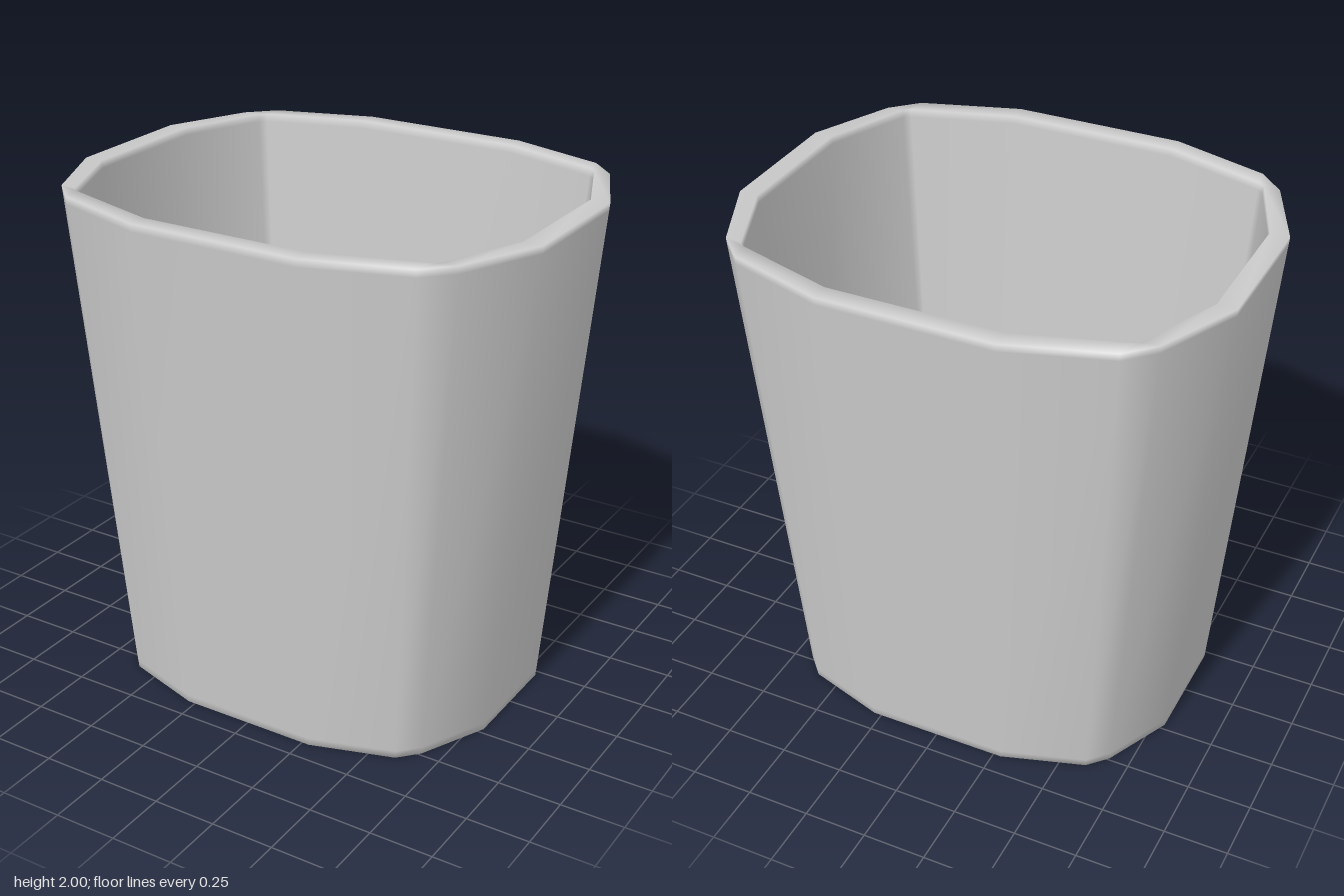
import * as THREE from 'three';

// One quarter of each outline as [x, z], mirrored into a closed 16-sided ring
const outerBase = [[0.795, 0.225], [0.67, 0.49], [0.6, 0.565], [0.28, 0.665]];
const outerTop = [[0.965, 0.27], [0.82, 0.59], [0.72, 0.69], [0.335, 0.81]];
const innerTop = [[0.89, 0.27], [0.755, 0.595], [0.73, 0.615], [0.335, 0.735]];
const innerBase = [[0.73, 0.225], [0.625, 0.49], [0.61, 0.51], [0.28, 0.605]];

const mix = (a, b, t) => a.map(([x, z], i) => [x + (b[i][0] - x) * t, z + (b[i][1] - z) * t]);
const scaled = (q, s) => q.map(([x, z]) => [x * s, z * s]);

function ring(quarter, y) {
  const back = [...quarter].reverse();
  return [
    ...quarter,
    ...back.map(([x, z]) => [-x, z]),
    ...quarter.map(([x, z]) => [-x, -z]),
    ...back.map(([x, z]) => [x, -z]),
  ].map(([x, z]) => [x, y, z]);
}

// Skin a list of rings in order; smooth normals come from shared vertices
function loft(rings) {
  const n = rings[0].length, index = [];
  for (let r = 0; r < rings.length - 1; r++) {
    for (let i = 0; i < n; i++) {
      const a = r * n + i, b = r * n + (i + 1) % n;
      index.push(a, a + n, b, b, a + n, b + n);
    }
  }
  return build(rings.flat(2), index);
}

// Flat disc filling a ring, facing up or down
function cap(points, up) {
  const n = points.length, index = [];
  for (let i = 0; i < n; i++) {
    const j = (i + 1) % n;
    index.push(n, up ? j : i, up ? i : j);
  }
  return build([...points, [0, points[0][1], 0]].flat(), index);
}

function build(positions, index) {
  const geometry = new THREE.BufferGeometry();
  geometry.setAttribute('position', new THREE.Float32BufferAttribute(positions, 3));
  geometry.setIndex(index);
  geometry.computeVertexNormals();
  return geometry;
}

export function createModel() {
  const group = new THREE.Group();
  group.name = 'taperedBin';
  const material = new THREE.MeshStandardMaterial({ color: 0xcccccc });
  const add = (name, geometry) => {
    const mesh = new THREE.Mesh(geometry, material);
    mesh.name = name;
    group.add(mesh);
  };

  const floorY = 0.08;
  const baseRing = ring(scaled(outerBase, 0.98), 0);
  const floorRing = ring(innerBase, floorY);

  // Outer wall, rim and inner wall, with support loops keeping the edges tight
  add('wall', loft([
    baseRing,
    ring(outerBase, 0),
    ring(mix(outerBase, outerTop, 0.015), 0.03),
    ring(mix(outerBase, outerTop, 0.985), 1.97),
    ring(outerTop, 2),
    ring(innerTop, 2),
    ring(mix(innerTop, innerBase, 0.015), 1.97),
    floorRing,
  ]));

  add('underside', cap(baseRing, false));
  add('innerFloor', cap(floorRing, true));
  return group;
}
